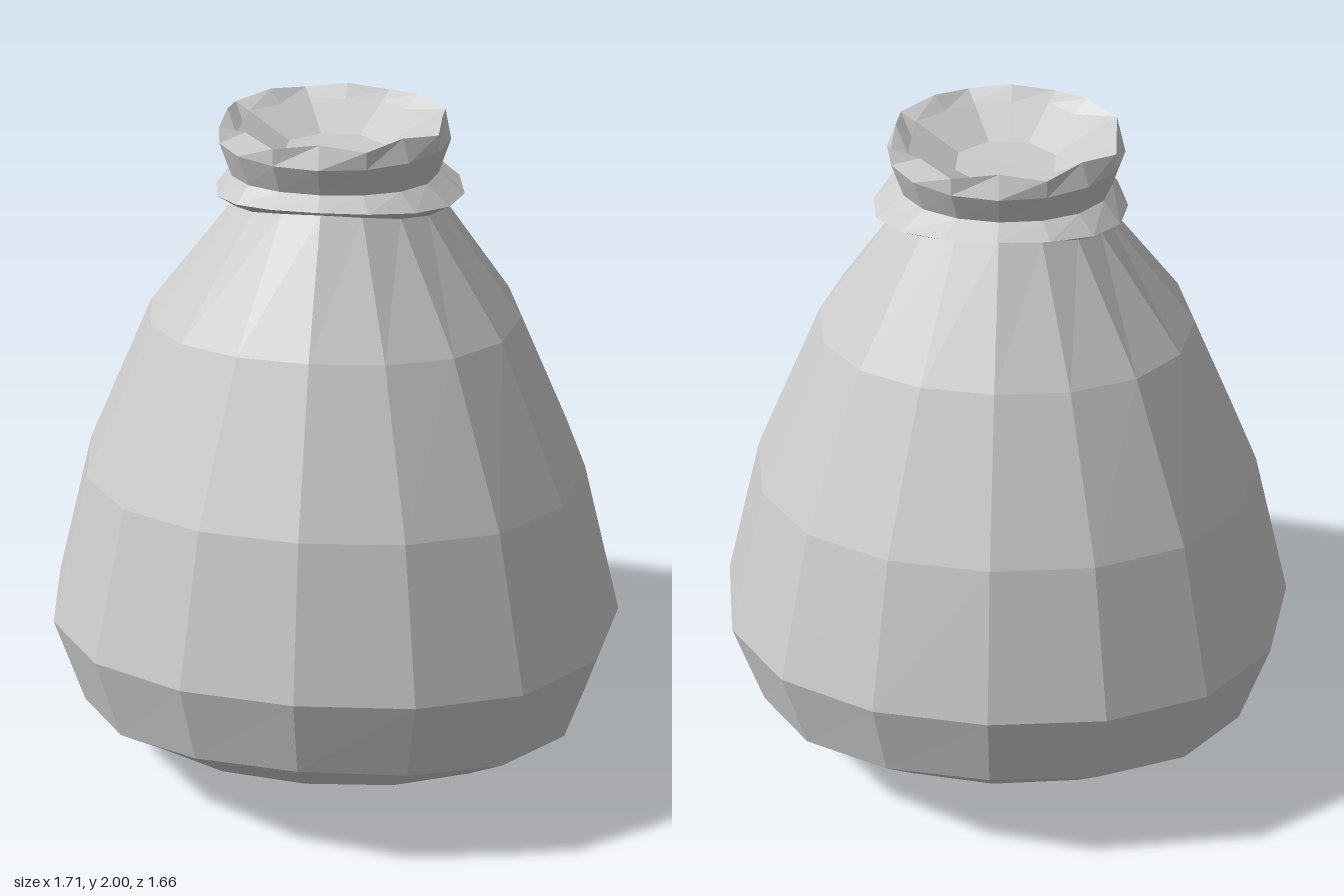
import * as THREE from 'three';

const SIDES = 16;
const SKEW = Math.PI / 8; // direction in which the sack sags lowest

// Skin a stack of 16-sided rings, listed from the bottom up.
// r: radius, y: height, dr / dy: two-fold swell and sag around the ring,
// x: sideways shift, octagon: flatten odd corners, wave: lift of odd corners
function loft(name, rings, material) {
  const positions = [];
  const index = [];
  for (const { r, y, dr = 0, dy = 0, x = 0, octagon = false, wave = 0 } of rings) {
    for (let j = 0; j < SIDES; j++) {
      const a = (j / SIDES) * Math.PI * 2;
      const swing = Math.cos(2 * (a - SKEW));
      const odd = j % 2;
      const radius = (r + dr * swing) * (octagon && odd ? Math.cos(Math.PI / 8) : 1);
      positions.push(x * Math.cos(a) ** 2 + radius * Math.cos(a), y - dy * swing + wave * odd, radius * Math.sin(a));
    }
  }
  for (let i = 0; i < rings.length - 1; i++) {
    for (let j = 0; j < SIDES; j++) {
      const k = (j + 1) % SIDES;
      const a = i * SIDES + j, b = i * SIDES + k;
      const c = a + SIDES, d = b + SIDES;
      if (rings[i].r > 0) index.push(a, c, b);
      if (rings[i + 1].r > 0) index.push(b, c, d);
    }
  }
  const indexed = new THREE.BufferGeometry();
  indexed.setAttribute('position', new THREE.Float32BufferAttribute(positions, 3));
  indexed.setIndex(index);
  const geometry = indexed.toNonIndexed();
  geometry.computeVertexNormals();
  const mesh = new THREE.Mesh(geometry, material);
  mesh.name = name;
  return mesh;
}

export function createModel() {
  const cloth = new THREE.MeshStandardMaterial({ color: 0xcccccc, flatShading: true });
  const group = new THREE.Group();
  group.name = 'sack';

  const bodyTop = { r: 0.285, y: 1.78, dy: 0.03, x: 0.012 };
  const neckBase = { r: 0.285, y: 1.855, dy: 0.01 };

  // Sagging body with a rounded underside
  group.add(loft('body', [
    { r: 0, y: 0 },
    { r: 0.24, y: 0.03, dy: 0.01 },
    { r: 0.48, y: 0.09, dy: 0.045 },
    { r: 0.64, y: 0.19, dy: 0.062 },
    { r: 0.775, y: 0.3, dr: 0.008, dy: 0.09 },
    { r: 0.842, y: 0.575, dr: 0.02, dy: 0.07 },
    { r: 0.72, y: 1.025, dr: 0.013, dy: 0.047 },
    { r: 0.515, y: 1.46, dr: 0.012, dy: 0.025 },
    bodyTop,
  ], cloth));

  // Tie around the neck, bulging to one side
  group.add(loft('collar', [
    bodyTop,
    { r: 0.343, y: 1.812, dy: 0.025, x: 0.018 },
    neckBase,
  ], cloth));

  // Flared mouth with a wavy rim and a shallow funnel inside
  group.add(loft('mouth', [
    neckBase,
    { r: 0.316, y: 1.94 },
    { r: 0.315, y: 1.985, octagon: true, wave: 0.015 },
    { r: 0.27, y: 1.965, octagon: true },
    { r: 0.142, y: 1.9, octagon: true },
    { r: 0, y: 1.895 },
  ], cloth));

  return group;
}
